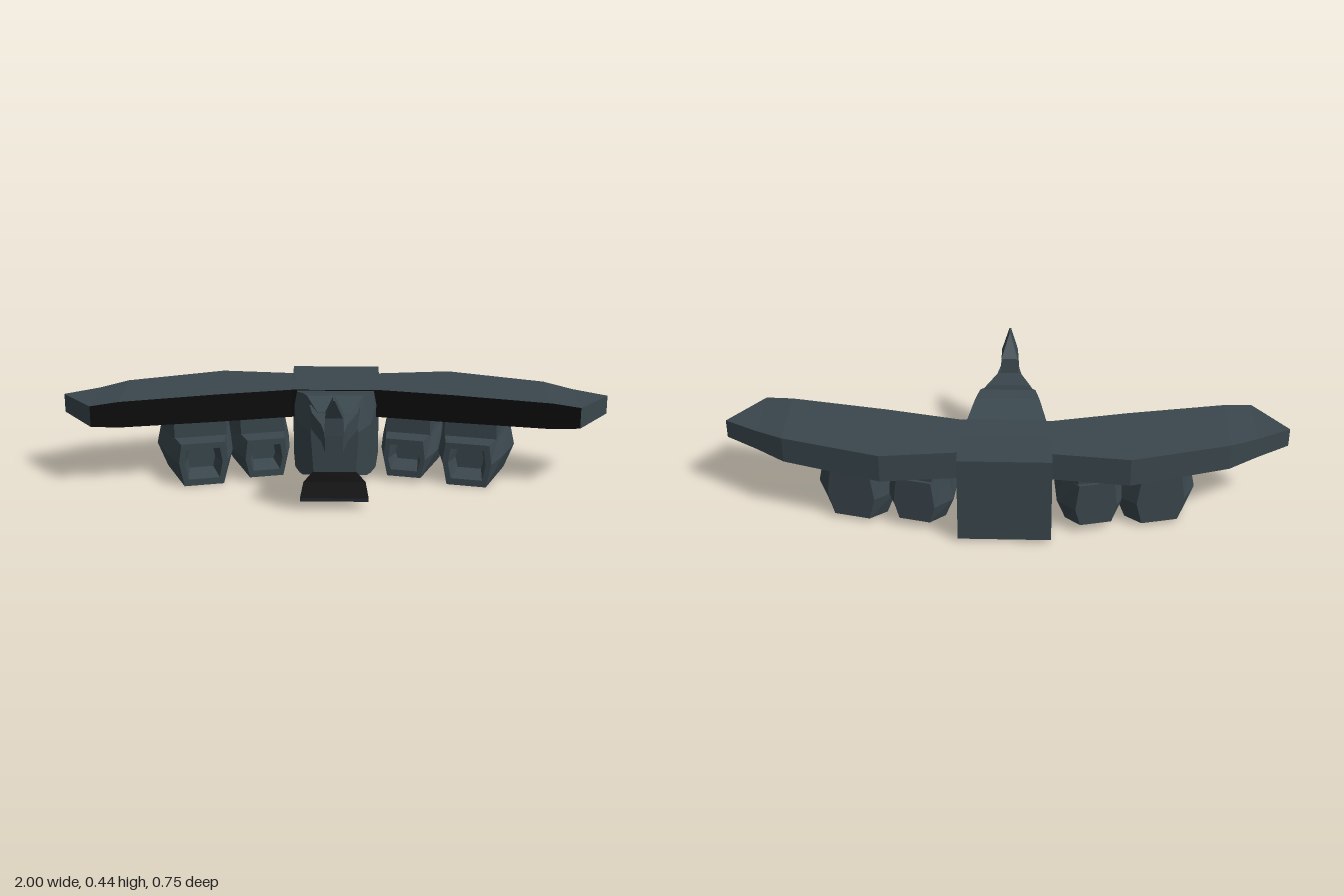
import * as THREE from 'three';

const hull = new THREE.MeshStandardMaterial({ color: 0x3a474d, flatShading: true });
hull.name = 'slate hull';
const dark = new THREE.MeshStandardMaterial({ color: 0x0c0c0c, flatShading: true });
dark.name = 'black panel';

// Skins matching rings of points; rings run counter-clockwise seen from the first ring's end.
// keep(strip, side) chooses which side faces are made.
function loft(rings, keep = () => true, caps = true) {
  const pos = [];
  const tri = (...pts) => pts.forEach((p) => pos.push(...p));
  const n = rings[0].length;
  for (let s = 0; s < rings.length - 1; s++) {
    for (let i = 0; i < n; i++) {
      if (!keep(s, i)) continue;
      const j = (i + 1) % n, a = rings[s], b = rings[s + 1];
      tri(a[i], b[i], b[j]);
      tri(a[i], b[j], a[j]);
    }
  }
  if (caps) {
    const first = rings[0], last = rings[rings.length - 1];
    for (let i = 1; i < n - 1; i++) {
      tri(first[0], first[i], first[i + 1]);
      tri(last[0], last[i + 1], last[i]);
    }
  }
  const geo = new THREE.BufferGeometry();
  geo.setAttribute('position', new THREE.Float32BufferAttribute(pos, 3));
  geo.computeVertexNormals();
  return geo;
}

function add(parent, name, geo, mat = hull) {
  const mesh = new THREE.Mesh(geo, mat);
  mesh.name = name;
  parent.add(mesh);
  return mesh;
}

// Six-sided section: half widths at bottom, middle and top
const hex = (z, yb, ym, yt, wb, wm, wt) => [
  [-wb, yb, z], [wb, yb, z], [wm, ym, z], [wt, yt, z], [-wt, yt, z], [-wm, ym, z],
];
const box = (z, yb, yt, w) => [[-w, yb, z], [w, yb, z], [w, yt, z], [-w, yt, z]];

// Engine pod with a recessed intake, a step up to the wing and a tapered tail
function makePod(name, w, yb) {
  const pod = new THREE.Group();
  pod.name = name;
  add(pod, 'podShell', loft([
    hex(-0.07, yb + 0.045, 0.085, 0.125, w * 0.3, w * 0.36, w * 0.3),
    hex(0, yb + 0.025, 0.085, 0.14, w * 0.4, w * 0.48, w * 0.42),
    hex(0, yb, 0.09, 0.162, w * 0.5, w * 0.62, w * 0.55),
    hex(-0.09, yb + 0.002, 0.095, 0.165, w * 0.6, w * 0.83, w * 0.68),
    hex(-0.22, yb + 0.005, 0.1, 0.2, w * 0.75, w, w * 0.85),
    hex(-0.29, yb + 0.015, 0.1, 0.2, w * 0.45, w * 0.6, w * 0.5),
  ]));
  add(pod, 'pylon', loft([
    hex(-0.07, 0.12, 0.16, 0.24, w * 0.6, w * 0.66, w * 0.66),
    hex(-0.22, 0.12, 0.16, 0.24, w * 0.9, w * 0.9, w * 0.82),
    hex(-0.28, 0.12, 0.16, 0.24, w * 0.5, w * 0.55, w * 0.5),
  ]));
  return pod;
}

export function createModel() {
  const model = new THREE.Group();
  model.name = 'gunship';

  // Fuselage: square tail, humped shoulders, narrow nose
  add(model, 'fuselage', loft([
    hex(0.15, 0.09, 0.25, 0.323, 0.075, 0.085, 0.06),
    hex(0.06, 0.055, 0.25, 0.357, 0.115, 0.128, 0.1),
    hex(0.01, 0.045, 0.255, 0.35, 0.13, 0.138, 0.115),
    hex(-0.09, 0.03, 0.27, 0.324, 0.15, 0.15, 0.14),
    hex(-0.29, 0.018, 0.3, 0.331, 0.163, 0.163, 0.163),
    hex(-0.375, 0.01, 0.3, 0.336, 0.163, 0.163, 0.163),
  ]));

  // Neck and head
  add(model, 'neck', loft([
    box(0.345, 0.242, 0.305, 0.03),
    box(0.25, 0.25, 0.312, 0.045),
    box(0.15, 0.258, 0.322, 0.08),
    box(0.1, 0.26, 0.335, 0.09),
  ]));

  // Upright crest, leaning forward to a thin edge
  const crest = (y, zf, zb, w) => [[-w, y, zf], [w, y, zf], [w, y, zb], [-w, y, zb]];
  add(model, 'crest', loft([
    crest(0.44, 0.375, 0.322, 0.003),
    crest(0.367, 0.342, 0.265, 0.03),
    crest(0.3, 0.345, 0.255, 0.034),
  ]));

  // Chin plate: flared wedge with a black upper face
  const chin = [
    [[-0.12, 0.025, 0.245], [0.12, 0.025, 0.245], [0.12, 0.05, 0.275], [-0.12, 0.05, 0.275]],
    [[-0.105, 0.054, 0.185], [0.105, 0.054, 0.185], [0.11, 0.082, 0.2], [-0.11, 0.082, 0.2]],
    [[-0.07, 0.083, 0.13], [0.07, 0.083, 0.13], [0.075, 0.102, 0.145], [-0.075, 0.102, 0.145]],
  ];
  add(model, 'chinPlate', loft(chin, (s, i) => i !== 2));
  add(model, 'chinTop', loft(chin, (s, i) => i === 2, false), dark);

  // Swept wing: stations of [x, front z, back z, bottom y, top y], tip to tip
  const half = [
    [1, -0.1, -0.1, 0.24, 0.309],
    [0.88, 0.055, -0.17, 0.234, 0.312],
    [0.78, 0.035, -0.23, 0.225, 0.322],
    [0.43, -0.04, -0.34, 0.223, 0.328],
    [0.16, -0.1, -0.31, 0.223, 0.328],
  ];
  const stations = [...half, ...half.map(([x, ...r]) => [-x, ...r]).reverse()];
  const wing = stations.map(([x, f, b, lo, hi]) => [[x, lo, f], [x, lo, b], [x, hi, b], [x, hi, f]]);
  const leading = (s, i) => i === 3 && s > 0 && s < wing.length - 2;
  add(model, 'wing', loft(wing, (s, i) => !leading(s, i)));
  add(model, 'wingLeadingEdge', loft(wing, leading, false), dark);

  // Four engine pods, angled outward toward the tail
  for (const side of [1, -1]) {
    const label = side > 0 ? 'left' : 'right';
    for (const [name, x, z, w, yb] of [['OuterPod', 0.48, 0.024, 0.145, 0], ['InnerPod', 0.253, -0.02, 0.125, 0.018]]) {
      const pod = makePod(label + name, w, yb);
      pod.position.set(side * x, 0, z);
      pod.rotation.y = -side * 0.23;
      model.add(pod);
    }
  }
  return model;
}
